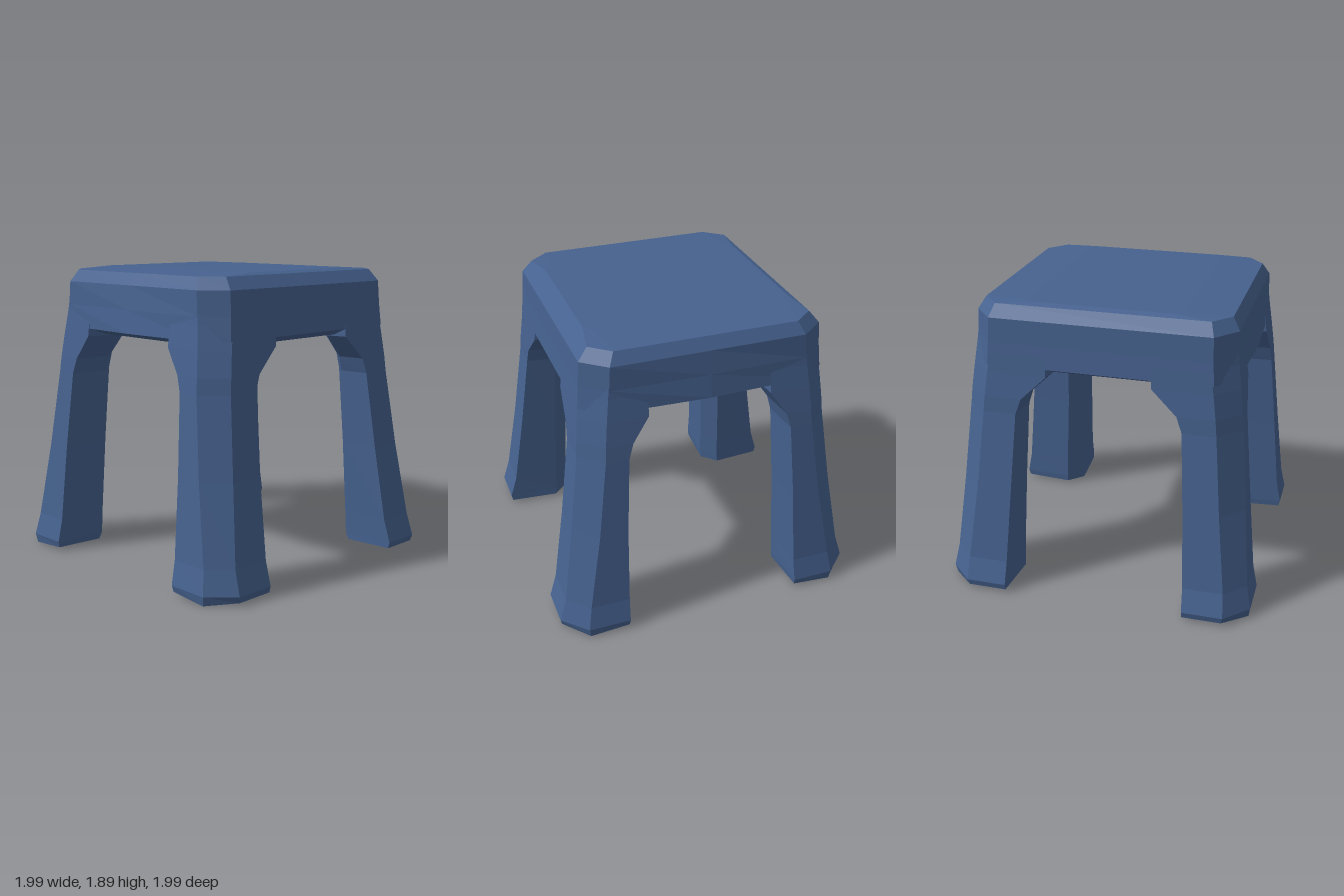
import * as THREE from 'three';

// Skin a stack of rings ([x, y, z] points turning from +x towards +z) and cap both ends
function loft(rings) {
  const pos = [];
  const tri = (...points) => points.forEach((p) => pos.push(...p));
  const centre = (ring) => [0, 1, 2].map((i) => ring.reduce((s, p) => s + p[i], 0) / ring.length);
  const n = rings[0].length;
  const low = rings[0], high = rings[rings.length - 1];
  const lowMid = centre(low), highMid = centre(high);
  for (let j = 0; j < n; j++) {
    const k = (j + 1) % n;
    for (let r = 0; r < rings.length - 1; r++) {
      const a = rings[r], b = rings[r + 1];
      tri(a[j], b[j], b[k]);
      tri(a[j], b[k], a[k]);
    }
    tri(lowMid, low[j], low[k]);
    tri(highMid, high[k], high[j]);
  }
  const geo = new THREE.BufferGeometry();
  geo.setAttribute('position', new THREE.Float32BufferAttribute(pos, 3));
  geo.computeVertexNormals();
  return geo;
}

// Rectangle with cut corners; front and back edges may bulge in the middle
function seatRing([y, hx, hz, cx, cz, bulge]) {
  const x = hx - cx, z = hz - cz;
  return [
    [hx, y, z], [x, y, hz], [0, y, hz + bulge], [-x, y, hz],
    [-hx, y, z], [-hx, y, -z], [-x, y, -hz], [0, y, -hz - bulge],
    [x, y, -hz], [hx, y, -z],
  ];
}

// Leg section: outer faces X and Z, inner faces xi and zi, cut outer (ch) and inner (c) corners
function legRing([y, X, Z, xi, zi, ch, c], index, sx, sz) {
  const foot = index === 0 ? 1 : 0; // the sole dips slightly at the outer corner
  const ring = [
    [X, y + foot * 0.02, zi + 0.02],
    [X, y + foot * 0.02, Z - ch],
    [X - ch, y, Z],
    [xi + 0.02, y + foot * 0.02, Z],
    [xi, y + foot * 0.015, zi + c],
    [xi + c, y + foot * 0.015, zi],
  ].map(([px, py, pz]) => [px * sx, py, pz * sz]);
  return sx * sz < 0 ? ring.reverse() : ring;
}

export function createModel() {
  const group = new THREE.Group();
  const blue = new THREE.MeshStandardMaterial({ color: 0x46628f, flatShading: true });
  blue.name = 'slate blue plastic';

  const add = (name, geometry) => {
    const mesh = new THREE.Mesh(geometry, blue);
    mesh.name = name;
    group.add(mesh);
  };

  // Seat block: recessed underside, apron, bevelled rim, faint crown on top
  const seat = [
    // y, half x, half z, corner x, corner z, bulge
    [1.465, 0.7, 0.72, 0.15, 0.12, 0],
    [1.505, 0.782, 0.825, 0.15, 0.12, 0.025],
    [1.65, 0.77, 0.82, 0.15, 0.125, 0.012],
    [1.8, 0.76, 0.815, 0.15, 0.125, 0],
    [1.875, 0.7, 0.77, 0.125, 0.105, 0],
    [1.89, 0.66, 0.48, 0.04, 0.04, 0],
  ];
  add('seat', loft(seat.map(seatRing)));

  // Legs: splayed, flared at the foot, widening at the top into the arches
  const leg = [
    // y, X, Z, xi, zi, outer cut, inner cut
    [0, 0.985, 0.985, 0.56, 0.565, 0.15, 0.1],
    [0.06, 0.995, 0.995, 0.555, 0.565, 0.15, 0.1],
    [0.21, 0.95, 0.965, 0.55, 0.56, 0.13, 0.1],
    [0.7, 0.875, 0.92, 0.535, 0.535, 0.14, 0.1],
    [1.2, 0.81, 0.875, 0.505, 0.505, 0.14, 0.11],
    [1.3, 0.803, 0.865, 0.475, 0.47, 0.14, 0.15],
    [1.455, 0.787, 0.845, 0.37, 0.31, 0.14, 0.28],
    [1.6, 0.774, 0.825, 0.37, 0.31, 0.145, 0.28],
    [1.78, 0.755, 0.805, 0.4, 0.4, 0.145, 0.28],
  ];
  for (const [sx, side] of [[1, 'Left'], [-1, 'Right']]) {
    for (const [sz, end] of [[1, 'front'], [-1, 'back']]) {
      add(`${end}${side}Leg`, loft(leg.map((row, i) => legRing(row, i, sx, sz))));
    }
  }
  return group;
}
